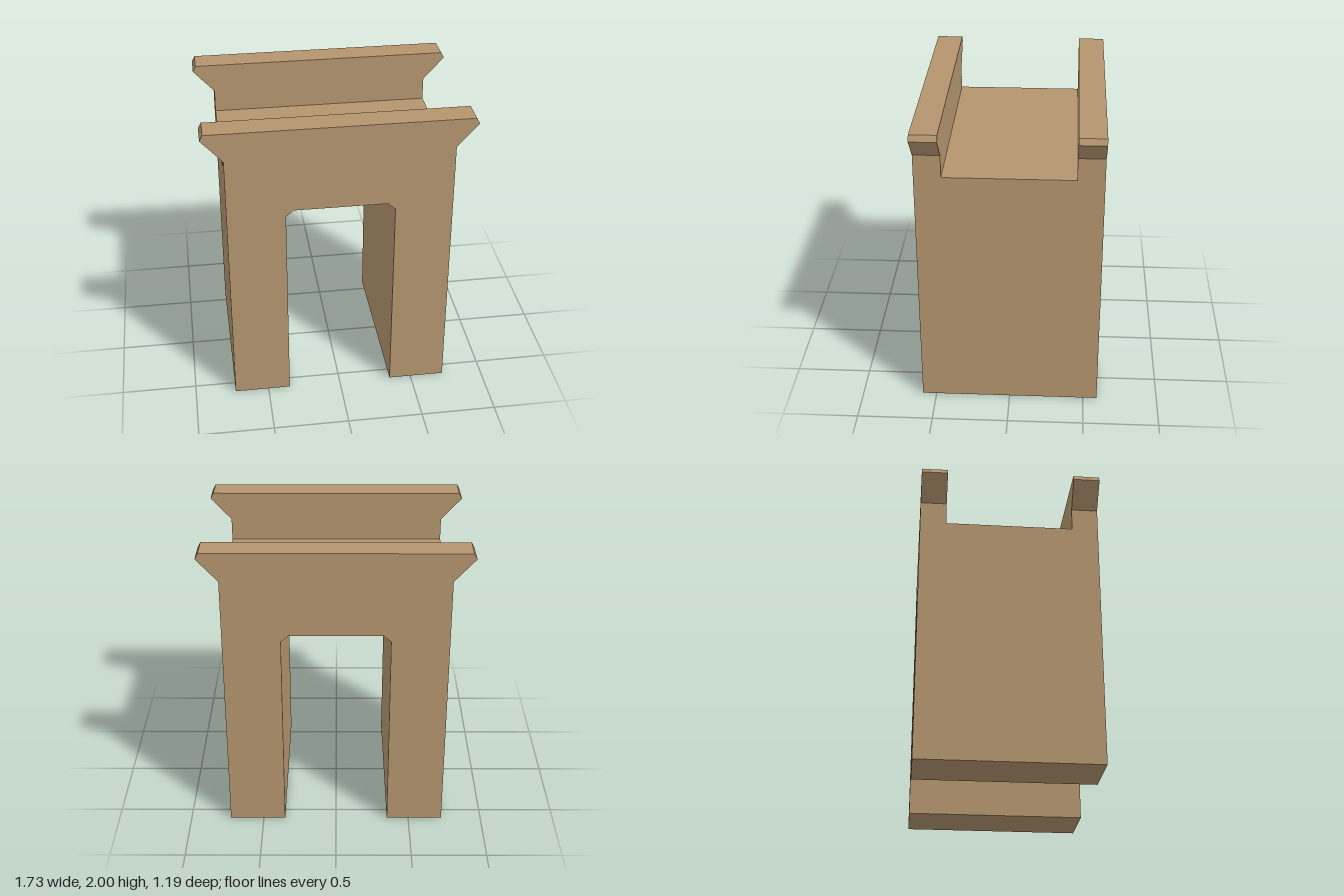
import * as THREE from 'three';

const HALF_DEPTH = 0.593;
const WALL = 0.173; // parapet thickness
const DECK = 1.66; // height of the walkway

// Closed shape symmetric about x = 0, from its right-hand points
function mirroredShape(half) {
  const right = half.map(([x, y]) => new THREE.Vector2(x, y));
  const left = half.map(([x, y]) => new THREE.Vector2(-x, y)).reverse();
  return new THREE.Shape([...right, ...left]);
}

function slab(name, half, depth, z, material) {
  const geometry = new THREE.ExtrudeGeometry(mirroredShape(half), { depth, bevelEnabled: false });
  const mesh = new THREE.Mesh(geometry, material);
  mesh.name = name;
  mesh.position.z = z;
  return mesh;
}

export function createModel() {
  const model = new THREE.Group();
  model.name = 'gateway';
  const stone = new THREE.MeshStandardMaterial({ color: 0xb4956e });
  stone.name = 'sandstone';

  // Two piers joined by the deck, with a chamfered opening
  const archProfile = [
    [0.302, 1.43], [0.352, 1.387], [0.352, 0], [0.728, 0], [0.728, DECK],
  ];
  model.add(slab('archBody', archProfile, HALF_DEPTH * 2, -HALF_DEPTH, stone));

  // Parapets with flared, bevelled ends along the front and back
  const parapetProfile = [
    [0.728, DECK], [0.728, 1.81], [0.866, 1.962], [0.846, 2],
  ];
  model.add(slab('frontParapet', parapetProfile, WALL, HALF_DEPTH - WALL, stone));
  model.add(slab('backParapet', parapetProfile, WALL, -HALF_DEPTH, stone));

  return model;
}
